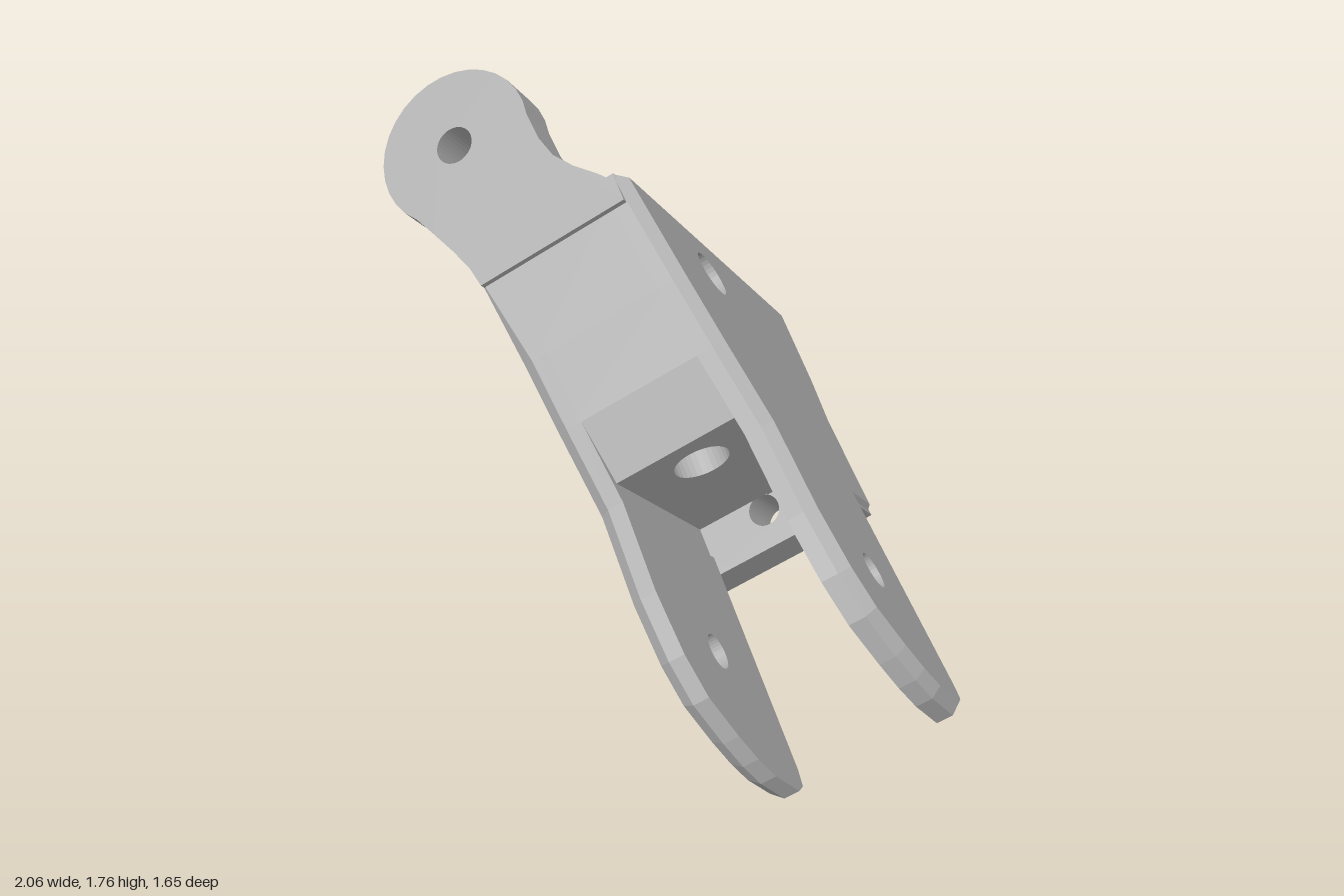
import * as THREE from 'three';

// Working frame: P runs along the link, Q across the fork, R along the hinge pin.
const grey = new THREE.MeshStandardMaterial({ color: 0xb0b0b0, side: THREE.DoubleSide });
grey.name = 'grey plastic';

const V = (x, y, z) => new THREE.Vector3(x, y, z);
const alongP = new THREE.Matrix4().makeBasis(V(0, 1, 0), V(0, 0, 1), V(1, 0, 0));
const alongQ = new THREE.Matrix4().makeBasis(V(1, 0, 0), V(0, 0, 1), V(0, -1, 0));

function outline(points, holes = []) {
  const shape = new THREE.Shape(points.map(([x, y]) => new THREE.Vector2(x, y)));
  for (const [x, y, r] of holes) shape.holes.push(new THREE.Path().absarc(x, y, r, 0, Math.PI * 2, true));
  return shape;
}

function extrude(shape, from, to) {
  const g = new THREE.ExtrudeGeometry(shape, { depth: to - from, bevelEnabled: false, curveSegments: 16 });
  return g.translate(0, 0, from);
}
const extrudeQ = (shape, q0, q1) => extrude(shape, -q1, -q0).applyMatrix4(alongQ);
const extrudeP = (shape, p0, p1) => extrude(shape, p0, p1).applyMatrix4(alongP);

// Move a counter-clockwise outline inwards by a distance given per point
function inset(points, distance) {
  const n = points.length;
  return points.map((p, i) => {
    const a = points[(i + n - 1) % n], b = points[(i + 1) % n];
    const e1 = new THREE.Vector2(p[0] - a[0], p[1] - a[1]).normalize();
    const e2 = new THREE.Vector2(b[0] - p[0], b[1] - p[1]).normalize();
    const k = distance(p) / Math.max(0.5, 1 + e1.dot(e2));
    return [p[0] - (e1.y + e2.y) * k, p[1] + (e1.x + e2.x) * k];
  });
}

// Sloping strip joining the outer outline to the inset one
function chamferStrip(outer, inner, qOuter, qInner) {
  const pos = [];
  outer.forEach((a, i) => {
    const j = (i + 1) % outer.length;
    const A = [a[0], qOuter, a[1]], B = [outer[j][0], qOuter, outer[j][1]];
    const C = [inner[j][0], qInner, inner[j][1]], D = [inner[i][0], qInner, inner[i][1]];
    if (qInner < qOuter) pos.push(...A, ...B, ...C, ...A, ...C, ...D);
    else pos.push(...A, ...C, ...B, ...A, ...D, ...C);
  });
  const g = new THREE.BufferGeometry();
  g.setAttribute('position', new THREE.Float32BufferAttribute(pos, 3));
  g.computeVertexNormals();
  return g;
}

export function createModel() {
  const model = new THREE.Group();
  const link = new THREE.Group();
  link.name = 'forkLink';
  link.rotation.z = THREE.MathUtils.degToRad(-43.2);
  model.rotation.x = THREE.MathUtils.degToRad(-43.4);
  model.add(link);

  const add = (name, geometry, parent = link) => {
    const mesh = new THREE.Mesh(geometry, grey);
    mesh.name = name;
    parent.add(mesh);
  };

  // Side walls, which run on into the fork plates
  const forkEdge = [
    [0.74, 0.385], [0.795, 0.4], [0.815, 0.45], [0.786, 0.6], [0.745, 0.69], [0.687, 0.777],
    [0.589, 0.895], [0.47, 0.957], [0.285, 0.995], [0, 0.99], [-0.24, 1.08],
    [-0.45, 1.15], [-0.754, 1.24], [-0.797, 1.24],
  ];
  const belly = [[-0.797, 0.027], [-0.75, 0.03], [-0.45, 0.11], [-0.26, 0.185]];
  const wallHoles = [[0.41, 0.68, 0.055], [-0.615, 0.79, 0.075]];

  function sideWall(name, points, qIn, qOut, chamferAt, lean) {
    const group = new THREE.Group();
    group.name = name;
    const step = Math.sign(qOut - qIn) * 0.035;
    const small = inset(points, chamferAt);
    const span = (pts, a, b) => extrudeQ(outline(pts, wallHoles), Math.min(a, b), Math.max(a, b));
    const parts = [
      span(points, qIn, qOut - step),
      span(small, qIn, qOut),
      chamferStrip(points, small, qOut - step, qOut),
    ];
    parts.forEach((g, i) => {
      const p = g.attributes.position;
      for (let k = 0; k < p.count; k++) p.setY(k, p.getY(k) - lean * (0.4 - p.getX(k)));
      g.computeVertexNormals();
      add(name + ['Plate', 'Face', 'Chamfer'][i], g, group);
    });
    link.add(group);
  }
  sideWall('rightWall', [[-0.797, 0.412], [0.03, 0.412], [0.03, 0.385], ...forkEdge],
    0.203, 0.118, ([p, r]) => (r < 0.42 && p < 0.7) || p < -0.7 ? 0 : 0.03, 0);
  sideWall('leftWall', [...belly, [0.09, 0.228], [0.09, 0.385], ...forkEdge],
    0.627, 0.713, () => 0.025, 0.06);

  // Sloping roof between the walls
  add('roof', extrudeQ(outline([
    [-0.797, 1.1], [-0.063, 0.95], [-0.063, 0.985], [-0.24, 1.08],
    [-0.45, 1.15], [-0.754, 1.24], [-0.797, 1.24],
  ]), 0.16, 0.61));

  // Rear wall with its cable slot and the notch of the slit
  const rear = outline([[0.118, 0.412], [0.44, 0.412], [0.44, 0.38], [0.62, 0.38], [0.62, 1.15], [0.118, 1.15]]);
  const slot = new THREE.Path();
  slot.absarc(0.35, 0.92, 0.1, 0, Math.PI, false);
  slot.absarc(0.35, 0.69, 0.1, Math.PI, Math.PI * 2, false);
  slot.closePath();
  rear.holes.push(slot);
  add('rearWall', extrudeP(rear, -0.797, -0.71));

  // Wall at the root of the fork
  add('forkRootWall', extrudeP(outline(
    [[0.16, 0.412], [0.66, 0.412], [0.66, 0.97], [0.16, 0.97]], [[0.415, 0.835, 0.085]]), -0.15, -0.063));

  // Inner floor, and the bridge that closes the slit
  add('innerFloor', extrudeQ(outline([[-0.75, 0.412], [-0.08, 0.412], [-0.08, 0.56], [-0.75, 0.56]]), 0.16, 0.6));
  add('slitBridge', extrudeQ(outline([[-0.75, 0.37], [-0.07, 0.37], [-0.07, 0.43], [-0.75, 0.43]]), 0.44, 0.61));

  // Lower body, with a drilled end block
  add('lowerBody', extrudeQ(outline([...belly, [-0.26, 0.385], [-0.797, 0.385]]), 0.118, 0.62));
  const end = extrude(outline([[-0.26, 0.118], [0.06, 0.118], [0.09, 0.15], [0.09, 0.68], [-0.26, 0.64]],
    [[-0.03, 0.41, 0.05]]), 0, 0.385);
  const pos = end.attributes.position;
  for (let i = 0; i < pos.count; i++) {
    if (pos.getZ(i) < 0.1) pos.setZ(i, 0.185 + (pos.getX(i) + 0.26) * 0.123);
  }
  end.computeVertexNormals();
  add('lowerEndBlock', end);

  // Two hinge arms with round eyes
  const eye = [-1.18, 0.19, 0.25];
  const arm = [[-0.7, 0.12], [-0.7, 0.61], [-0.76, 0.61], [-0.82, 0.57], [-0.89, 0.51], [-0.96, 0.465], [-1.04, 0.443]];
  for (let i = 0; i <= 20; i++) {
    const a = THREE.MathUtils.degToRad(80 + i * 11.5);
    arm.push([eye[0] + eye[2] * Math.cos(a), eye[1] + eye[2] * Math.sin(a)]);
  }
  arm.push([-0.94, 0.035], [-0.85, 0.075], [-0.77, 0.105]);
  arm.reverse();
  const armShape = outline(arm, [[eye[0], eye[1], 0.06]]);
  add('upperArm', extrude(armShape, 1.106, 1.242));
  add('lowerArm', extrude(armShape, 0.025, 0.122));

  // Hollow hinge pin on the lower arm
  const pin = new THREE.Shape().absarc(eye[0], eye[1], 0.137, 0, Math.PI * 2, false);
  pin.holes.push(new THREE.Path().absarc(eye[0], eye[1], 0.06, 0, Math.PI * 2, true));
  add('hingePin', extrude(pin, 0.12, 0.416));

  const root = new THREE.Group();
  root.name = 'doubleForkLink';
  root.add(model);
  return root;
}
